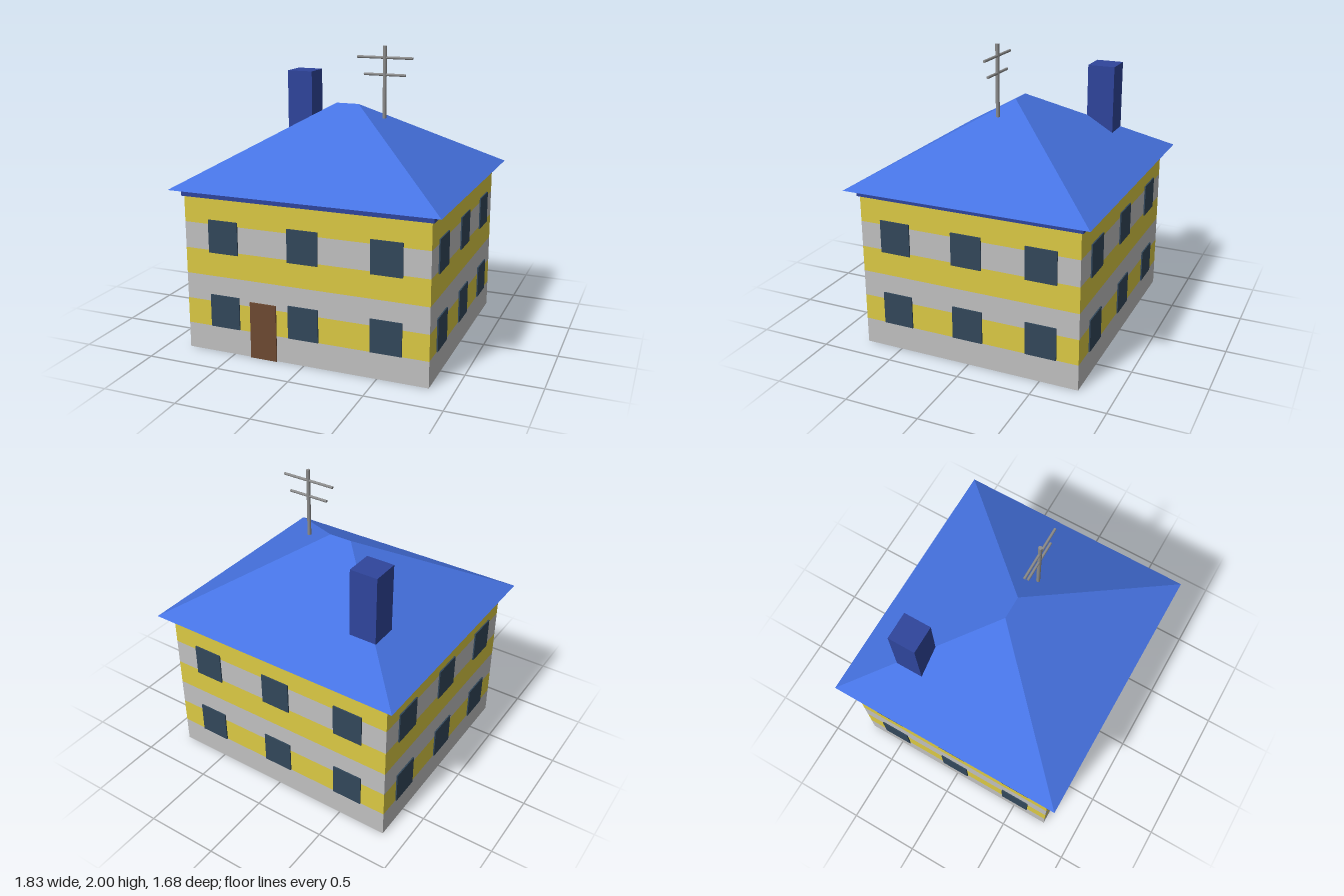
import * as THREE from 'three';

const mat = (name, color, side = THREE.FrontSide) => {
  const m = new THREE.MeshStandardMaterial({ color, side });
  m.name = name;
  return m;
};

export function createModel() {
  const house = new THREE.Group();
  house.name = 'house';

  const grey = mat('wall grey', 0xc0c0c0, THREE.DoubleSide);
  const yellow = mat('wall yellow', 0xdbc944, THREE.DoubleSide);
  const roofBlue = mat('roof blue', 0x4673e2);
  const darkBlue = mat('dark blue', 0x2f459c);
  const glass = mat('window glass', 0x32475a);
  const wood = mat('door brown', 0x6d4a32);
  const metal = mat('antenna metal', 0x8c8c8c);

  const add = (name, geometry, material, x = 0, y = 0, z = 0, parent = house) => {
    const mesh = new THREE.Mesh(geometry, material);
    mesh.name = name;
    mesh.position.set(x, y, z);
    parent.add(mesh);
    return mesh;
  };
  const box = (name, material, x0, x1, y0, y1, z0, z1) =>
    add(name, new THREE.BoxGeometry(x1 - x0, y1 - y0, z1 - z0), material,
      (x0 + x1) / 2, (y0 + y1) / 2, (z0 + z1) / 2);

  // Hollow walls, open below: six striped bands of four panels
  const W = 0.84, D = 0.76, bands = 6, bandH = 1.06 / bands;
  const sides = [
    { name: 'front', angle: 0, half: W, out: D, spacing: 0.56 },
    { name: 'left', angle: Math.PI / 2, half: D, out: W, spacing: 0.508 },
    { name: 'back', angle: Math.PI, half: W, out: D, spacing: 0.56 },
    { name: 'right', angle: -Math.PI / 2, half: D, out: W, spacing: 0.508 },
  ];
  const windowGeo = new THREE.BoxGeometry(0.21, 0.222, 0.009);
  for (const s of sides) {
    const wall = new THREE.Group();
    wall.name = s.name + 'Wall';
    wall.rotation.y = s.angle;
    house.add(wall);
    for (let i = 0; i < bands; i++) {
      add('wallBand', new THREE.PlaneGeometry(s.half * 2, bandH), i % 2 ? yellow : grey,
        0, (i + 0.5) * bandH, s.out, wall);
    }
    // Three windows on each floor
    for (const y of [0.29, 0.803]) {
      for (const k of [-1, 0, 1]) add('window', windowGeo, glass, k * s.spacing, y, s.out + 0.0055, wall);
    }
  }

  // Front door
  box('door', wood, -0.376, -0.19, 0, 0.386, D + 0.001, D + 0.0105);

  // Eaves block closing the top of the walls
  box('eaves', darkBlue, -0.855, 0.855, 1.058, 1.107, -0.775, 0.775);

  // Hipped roof: a box whose top is drawn in to a short ridge
  const roofGeo = new THREE.BoxGeometry(1.83, 0.495, 1.676).toNonIndexed();
  const p = roofGeo.attributes.position;
  for (let i = 0; i < p.count; i++) {
    if (p.getY(i) > 0) {
      p.setX(i, Math.sign(p.getX(i)) * 0.08);
      p.setZ(i, 0);
    }
  }
  roofGeo.computeVertexNormals();
  add('roof', roofGeo, roofBlue, 0, 1.3525, 0);

  // Chimney
  box('chimney', darkBlue, -0.602, -0.412, 1.2, 1.76, -0.52, -0.33);

  // Antenna: mast and two crossbars
  const antenna = new THREE.Group();
  antenna.name = 'antenna';
  antenna.position.set(0.279, 0, 0.038);
  house.add(antenna);
  const rod = (name, radius, length, y) =>
    add(name, new THREE.CylinderGeometry(radius, radius, length, 12), metal, 0, y, 0, antenna);
  rod('mast', 0.013, 0.478, 1.761);
  rod('upperCrossbar', 0.009, 0.384, 1.923).rotation.z = Math.PI / 2;
  rod('lowerCrossbar', 0.009, 0.29, 1.811).rotation.z = Math.PI / 2;

  return house;
}
